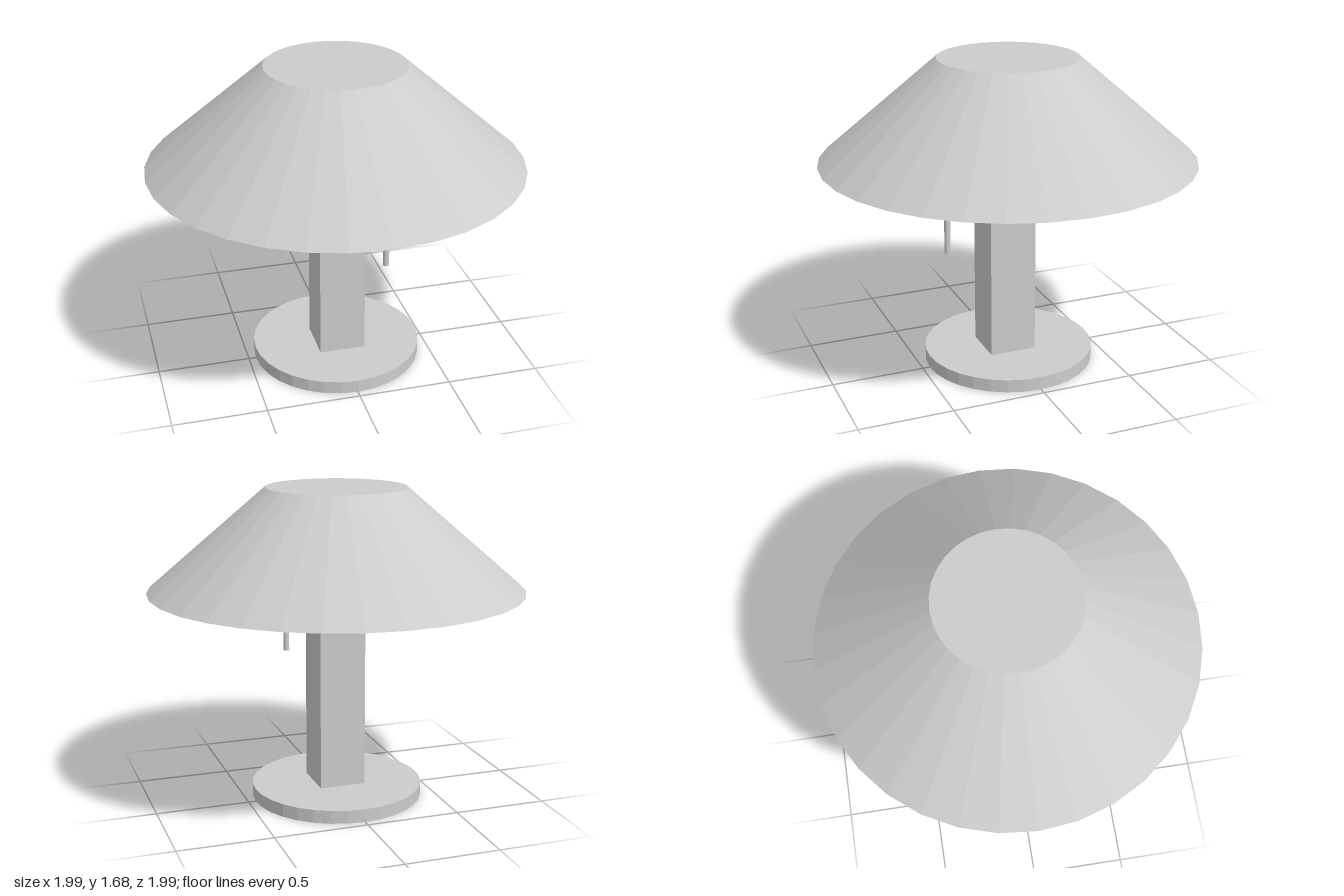
import * as THREE from 'three';

export function createModel() {
  const lamp = new THREE.Group();
  lamp.name = 'tableLamp';

  const lightGrey = new THREE.MeshStandardMaterial({ color: 0xcccccc, flatShading: true });
  lightGrey.name = 'lightGrey';

  function add(name, geometry, x, y, z) {
    const mesh = new THREE.Mesh(geometry, lightGrey);
    mesh.name = name;
    mesh.position.set(x, y, z);
    lamp.add(mesh);
  }

  // Upright disc or cone between two heights
  function addRound(name, topRadius, bottomRadius, y0, y1, sides, x = 0, z = 0) {
    const geometry = new THREE.CylinderGeometry(topRadius, bottomRadius, y1 - y0, sides);
    add(name, geometry, x, (y0 + y1) / 2, z);
  }

  // Round foot
  addRound('base', 0.46, 0.46, 0, 0.07, 32);

  // Square post, set slightly forward
  add('column', new THREE.BoxGeometry(0.25, 1.08, 0.254), 0, 0.6, 0.02);

  // Wide closed conical shade
  addRound('shade', 0.37, 0.995, 1.14, 1.68, 32);

  // Pull switch hanging just below the shade
  addRound('pullSwitch', 0.016, 0.016, 0.72, 1.132, 16, 0.16, 0.4);

  return lamp;
}
